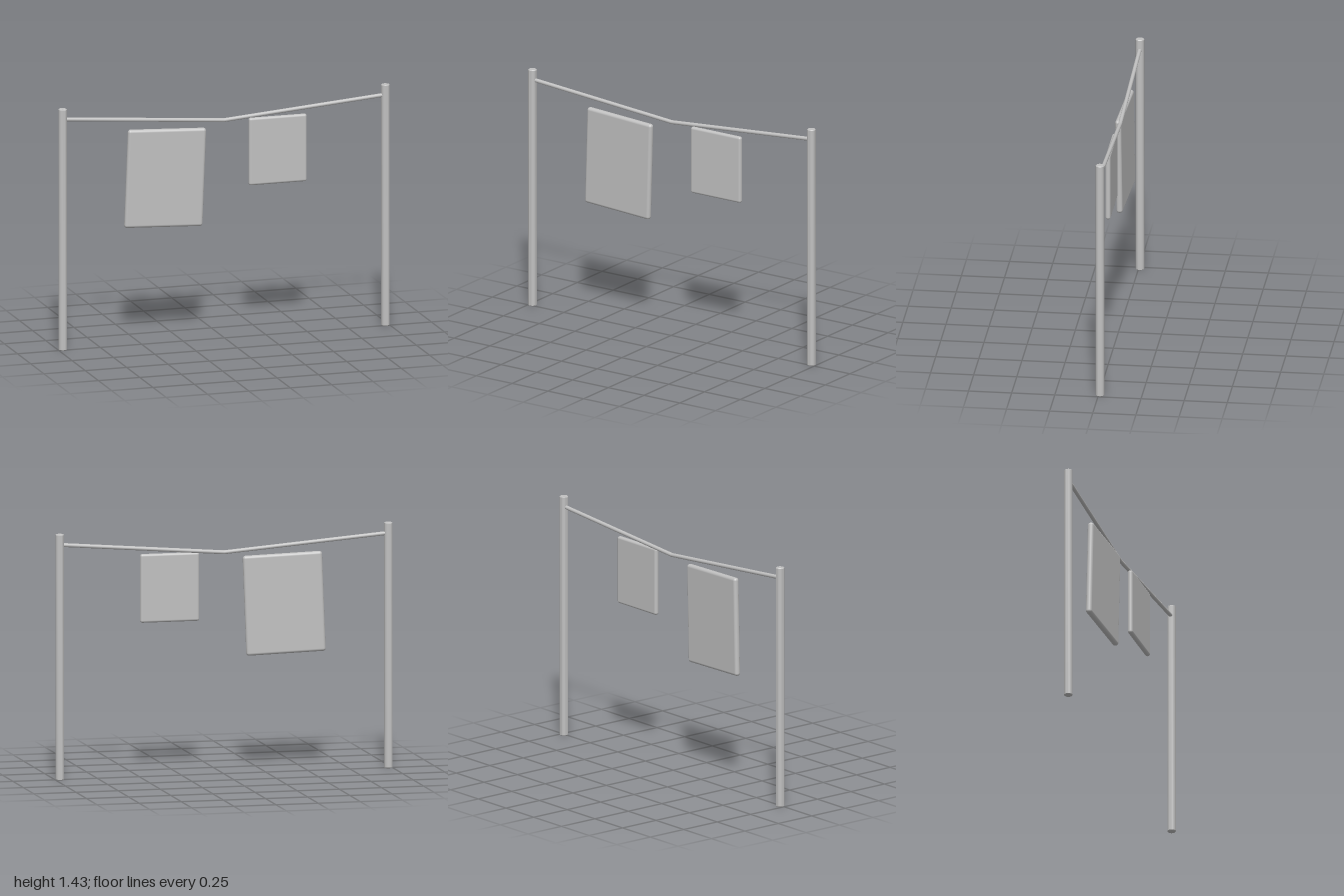
import * as THREE from 'three';
import { RoundedBoxGeometry } from 'three/addons/geometries/RoundedBoxGeometry.js';
import { toCreasedNormals } from 'three/addons/utils/BufferGeometryUtils.js';

const POLE_X = 0.975, POLE_R = 0.025, POLE_H = 1.43, LINE_Z = -0.009;

export function createModel() {
  const model = new THREE.Group();
  model.name = 'clothesline';
  const grey = new THREE.MeshStandardMaterial({ color: 0xc0c0c0 });
  grey.name = 'plain grey';

  const add = (name, geometry, x, y, z) => {
    const mesh = new THREE.Mesh(geometry, grey);
    mesh.name = name;
    mesh.position.set(x, y, z);
    model.add(mesh);
    return mesh;
  };

  // Upright pole with slightly bevelled ends
  const bevel = 0.004;
  const profile = [
    [0, 0], [POLE_R - bevel, 0], [POLE_R, bevel],
    [POLE_R, POLE_H - bevel], [POLE_R - bevel, POLE_H], [0, POLE_H],
  ].map(([r, y]) => new THREE.Vector2(r, y));
  const poleGeometry = toCreasedNormals(new THREE.LatheGeometry(profile, 24), 0.6);

  // Two poles and the two straight halves of the sagging line
  const middle = new THREE.Vector3(0, 1.29, LINE_Z);
  for (const [side, label] of [[1, 'left'], [-1, 'right']]) {
    add(label + 'Pole', poleGeometry, side * POLE_X, 0, LINE_Z);
    const end = new THREE.Vector3(side * POLE_X, 1.368, LINE_Z);
    const half = new THREE.LineCurve3(middle, end);
    add(label + 'Line', new THREE.TubeGeometry(half, 1, 0.0115, 16), 0, 0, 0);
  }
  // Rounded joint where the halves meet
  add('lineJoint', new THREE.SphereGeometry(0.0115, 16, 12), middle.x, middle.y, middle.z);

  // Hanging cloths, the larger one slightly askew
  const large = add('largeCloth', new RoundedBoxGeometry(0.466, 0.582, 0.036, 4, 0.017), -0.36, 0.978, 0.004);
  large.rotation.set(0.008, -0.048, -0.036);
  add('smallCloth', new RoundedBoxGeometry(0.35, 0.4, 0.03, 4, 0.014), 0.32, 1.095, 0.003);

  return model;
}
